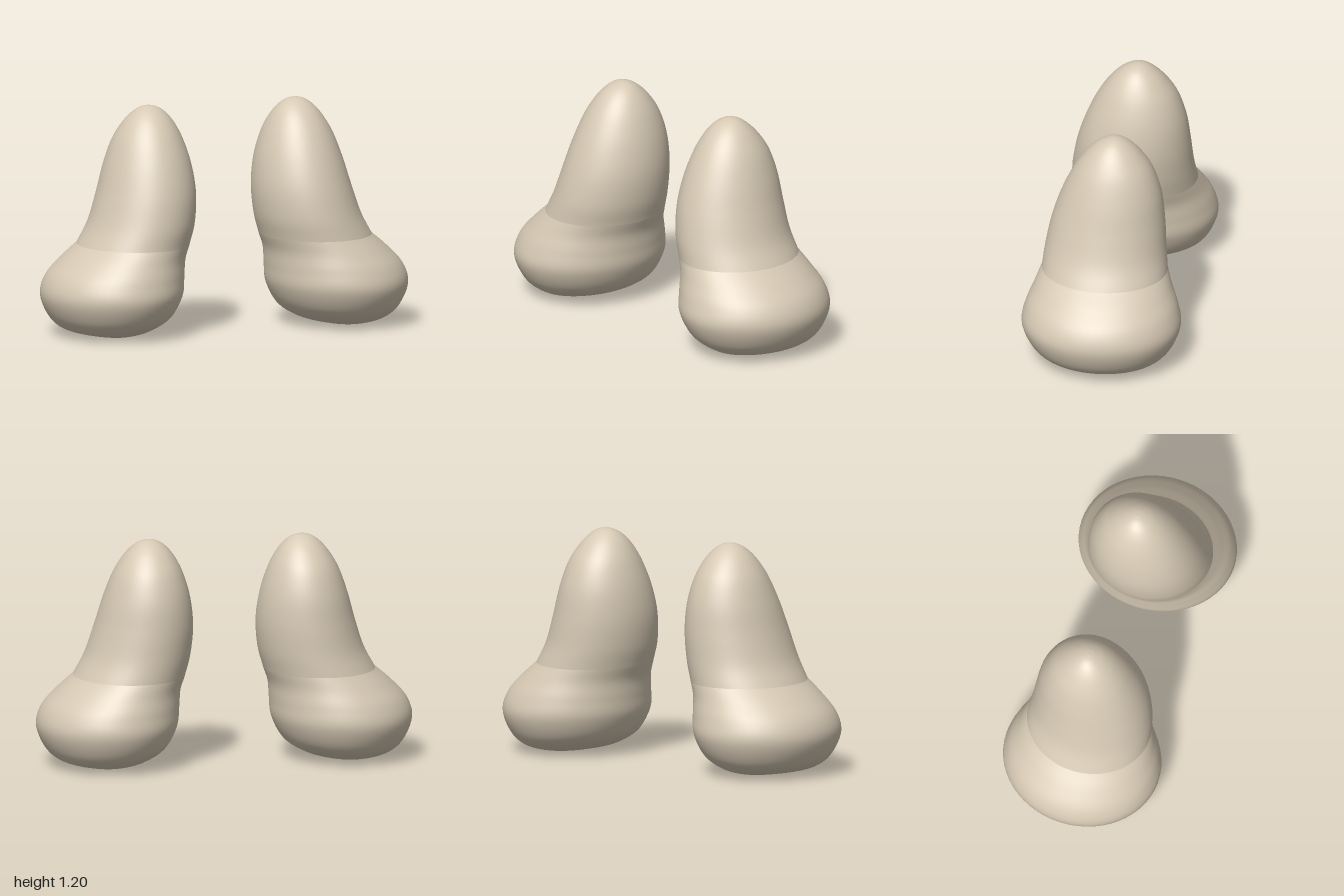
import * as THREE from 'three';

const SIDES = 56;
const STEPS = 6; // rings between two stations

// Stations: [y, inner x, outer x, back z, front z] of elliptical sections
const FOOT = [
  [0.006, 0.635, 0.635, 0, 0],
  [0.011, 0.58, 0.70, -0.11, 0.11],
  [0.022, 0.51, 0.79, -0.22, 0.22],
  [0.048, 0.415, 0.89, -0.305, 0.295],
  [0.11, 0.32, 0.958, -0.375, 0.37],
  [0.22, 0.262, 1.0, -0.42, 0.42],
  [0.32, 0.25, 0.972, -0.402, 0.402],
  [0.41, 0.242, 0.89, -0.363, 0.364],
  [0.485, 0.217, 0.803, -0.332, 0.333],
];
const LEG = [
  [0.485, 0.217, 0.803, -0.332, 0.333],
  [0.6, 0.187, 0.742, -0.318, 0.32],
  [0.75, 0.175, 0.693, -0.306, 0.289],
  [0.9, 0.193, 0.65, -0.285, 0.238],
  [1.03, 0.232, 0.602, -0.24, 0.175],
  [1.12, 0.278, 0.548, -0.178, 0.113],
  [1.175, 0.325, 0.497, -0.12, 0.055],
  [1.202, 0.37, 0.452, -0.073, 0.003],
  [1.21, 0.41, 0.41, -0.035, -0.035],
];

// Smooth loft through the stations; side = 1 for left, -1 for the mirrored right
function loft(stations, side) {
  const curve = (a, b) => new THREE.CatmullRomCurve3(
    stations.map((s) => new THREE.Vector3(s[a], s[0], s[b])), false, 'catmullrom', 0.5);
  const xs = curve(1, 2), zs = curve(3, 4);
  const rings = (stations.length - 1) * STEPS;
  const positions = [], index = [];
  for (let j = 0; j <= rings; j++) {
    const p = xs.getPoint(j / rings), q = zs.getPoint(j / rings);
    for (let i = 0; i < SIDES; i++) {
      const t = (i / SIDES) * Math.PI * 2;
      const x = (p.x + p.z) / 2 + ((p.z - p.x) / 2) * Math.cos(t);
      const z = (q.x + q.z) / 2 + ((q.z - q.x) / 2) * Math.sin(t);
      positions.push(side * x, p.y, z);
      if (j === rings) continue;
      const a = j * SIDES + i, b = j * SIDES + ((i + 1) % SIDES);
      const c = a + SIDES, d = b + SIDES;
      if (side > 0) index.push(a, c, b, b, c, d);
      else index.push(a, b, c, b, d, c);
    }
  }
  const geometry = new THREE.BufferGeometry();
  geometry.setAttribute('position', new THREE.Float32BufferAttribute(positions, 3));
  geometry.setIndex(index);
  geometry.computeVertexNormals();
  return geometry;
}

export function createModel() {
  const model = new THREE.Group();
  model.name = 'pairOfLegs';
  const beige = new THREE.MeshStandardMaterial({ color: 0xd6c9b4 });
  beige.name = 'beige';

  for (const [side, label] of [[1, 'left'], [-1, 'right']]) {
    const limb = new THREE.Group();
    limb.name = label + 'Limb';
    // Rounded foot and tapering leg meet in a soft crease
    for (const [part, stations] of [['Foot', FOOT], ['Leg', LEG]]) {
      const mesh = new THREE.Mesh(loft(stations, side), beige);
      mesh.name = label + part;
      limb.add(mesh);
    }
    model.add(limb);
  }
  return model;
}
